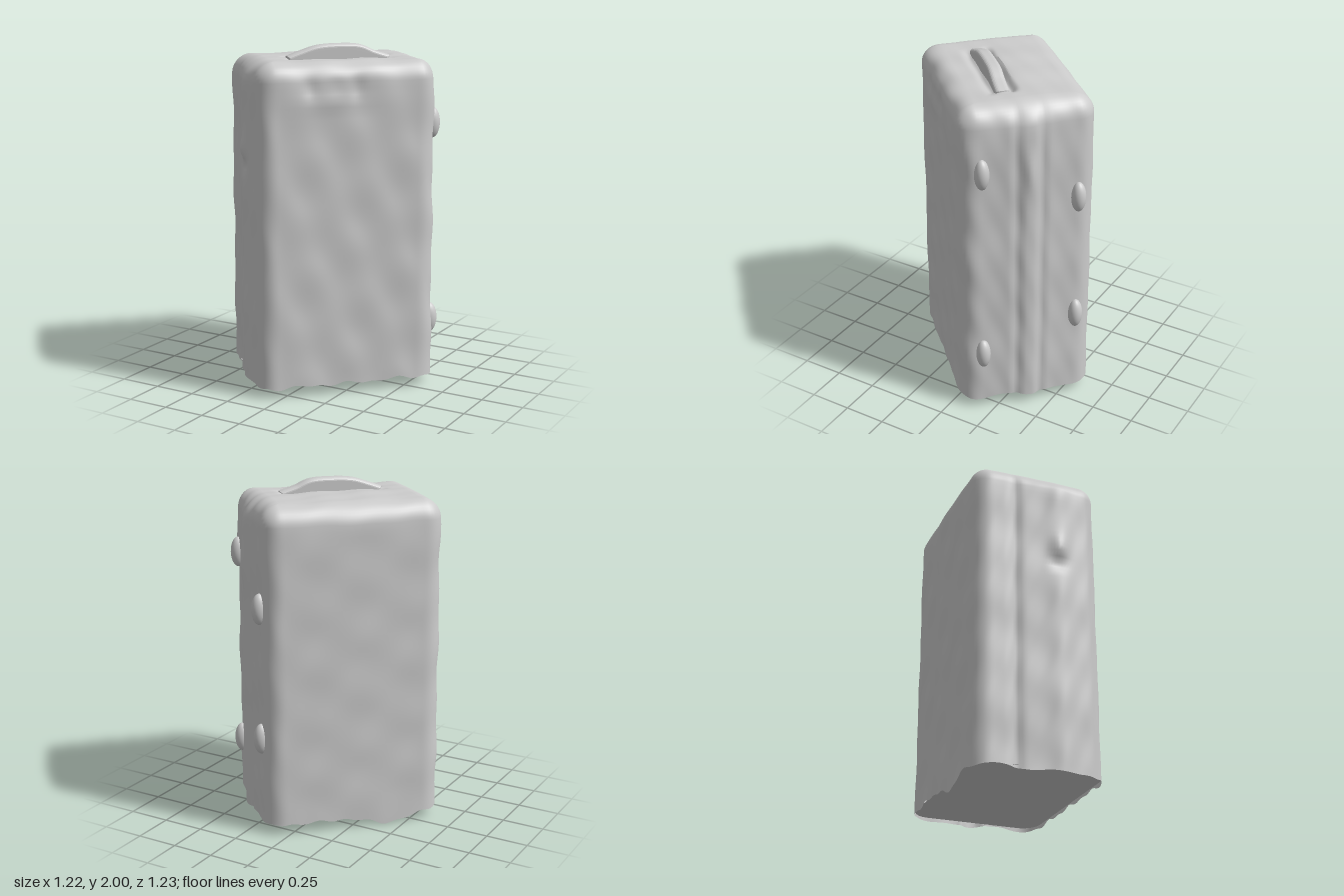
import * as THREE from 'three';

const HU = 0.53, HV = 0.392, R = 0.11, TOP = 1.92;
const bell = (t, c, w) => Math.exp(-(((t - c) / w) ** 2));
const fade = (t, a, b) => THREE.MathUtils.smoothstep(t, a, b);
const wobble = (x, y, z) =>
  0.0025 * (Math.sin(23 * x + 9 * y) + Math.sin(19 * y - 17 * z + 1) * Math.sin(27 * z + 11 * x));

// Rounded rectangle outline, shrunk by an inset
function outline(inset) {
  const r = Math.max(R - inset, 0.002);
  const a = Math.max(HU - inset - r, 0.001), b = Math.max(HV - inset - r, 0.001);
  const corners = [[a, b], [-a, b], [-a, -b], [a, -b]];
  const pts = [];
  corners.forEach(([cx, cz], k) => {
    for (let i = 0; i <= 8; i++) {
      const t = (k + i / 8) * Math.PI / 2;
      pts.push([cx + r * Math.cos(t), cz + r * Math.sin(t)]);
    }
    const last = pts[pts.length - 1], n = k % 2 ? 32 : 48;
    const t = (k + 1) * Math.PI / 2, [nx, nz] = corners[(k + 1) % 4];
    const end = [nx + r * Math.cos(t), nz + r * Math.sin(t)];
    for (let i = 1; i < n; i++) {
      pts.push([last[0] + (end[0] - last[0]) * i / n, last[1] + (end[1] - last[1]) * i / n]);
    }
  });
  return pts;
}

// Soft ribs, grooves, dents and the ragged hem
function shape(x, y, z, level) {
  let px = x, py = y, pz = z;
  const side = 1 - fade(y, 1.75, 1.92);
  const end = Math.min(1, Math.abs(x) / HU) ** 10;
  if (x > 0) {
    const rib = 0.035 * bell(z, 0, 0.13) - 0.016 * bell(z, 0.07, 0.025) - 0.016 * bell(z, -0.07, 0.025)
      + 0.015 * bell(z, 0, 0.03) * bell(y, 1.53, 0.12);
    px += end * rib * (0.5 + 0.5 * side);
  } else {
    const rib = 0.028 * bell(z, 0.13, 0.09) + 0.012 * bell(z, -0.02, 0.12) - 0.014 * bell(z, -0.14, 0.03)
      + 0.02 * bell(z, 0.12, 0.05) * (bell(y, 1.42, 0.07) - 1.2 * bell(y, 1.33, 0.04));
    px -= end * rib * (0.5 + 0.5 * side);
  }
  if (z > 0.3) {
    const dents = bell(x, -0.22, 0.04) + 0.6 * bell(x, -0.08, 0.05) + bell(x, 0.05, 0.04);
    pz -= 0.012 * dents * bell(y, 1.78, 0.05);
    pz += 0.008 * bell(x, -0.08, 0.2) * bell(y, 1.7, 0.04);
  }
  if (z < -0.3) pz -= 0.01 * bell(x, 0, 0.35) * side;
  if (level > 0) {
    // top panel
    const mid = fade(x, -0.33, -0.22) * (1 - fade(x, 0.26, 0.36));
    py += level * (0.018 * bell(z, -0.08, 0.18) * bell(x, 0, 0.45)
      - mid * (0.035 * bell(z, 0.035, 0.022) + 0.022 * bell(z, 0.15, 0.025)));
  }
  const hem = 1 - fade(y, 0.06, 0.2);
  py += hem * (0.012 * Math.sin(31 * x + 5 * z) * Math.sin(17 * z - 9 * x + 1)
    - 0.055 * bell(x, -0.2, 0.16) * bell(z, -HV, 0.1)
    - 0.02 * bell(x, -HU, 0.04) * bell(z, HV - 0.05, 0.05));
  const w = wobble(x, y, z);
  return [px + w, py + w * 0.8, pz + w + 0.0075];
}

function bodyGeometry() {
  const rings = [];
  for (let i = 0; i <= 60; i++) rings.push([0.006 * i / 60, 0.06 + (TOP - R - 0.06) * (i / 60) ** 1.2, 0]);
  for (let i = 1; i <= 9; i++) {
    const t = i / 9 * Math.PI / 2;
    rings.push([0.006 + R * (1 - Math.cos(t)), TOP - R + R * Math.sin(t), i / 9]);
  }
  for (let i = 1; i <= 26; i++) rings.push([0.116 + (HV - 0.118) * i / 26, TOP, 1]);
  const pos = [], index = [];
  let n = 0;
  rings.forEach(([inset, y, level]) => {
    const pts = outline(inset);
    n = pts.length;
    pts.forEach(([x, z]) => pos.push(...shape(x, y, z, level)));
  });
  for (let i = 0; i < rings.length - 1; i++) {
    for (let j = 0; j < n; j++) {
      const a = i * n + j, b = i * n + (j + 1) % n;
      index.push(a, a + n, b, b, a + n, b + n);
    }
  }
  const g = new THREE.BufferGeometry();
  g.setAttribute('position', new THREE.Float32BufferAttribute(pos, 3));
  g.setIndex(index);
  g.computeVertexNormals();
  return g;
}

export function createModel() {
  const model = new THREE.Group();
  model.name = 'suitcase';
  const material = new THREE.MeshStandardMaterial({ color: 0xcccccc, side: THREE.DoubleSide });
  const add = (name, geometry, x = 0, y = 0, z = 0) => {
    const mesh = new THREE.Mesh(geometry, material);
    mesh.name = name;
    mesh.position.set(x, y, z);
    model.add(mesh);
    return mesh;
  };

  add('body', bodyGeometry());

  // Flat underside
  const base = new THREE.Shape(outline(0.003).map(([x, z]) => new THREE.Vector2(x, z)));
  add('underside', new THREE.ShapeGeometry(base), 0, 0.075, 0.0075).rotation.x = Math.PI / 2;

  // Low arched carrying handle
  const arch = new THREE.Shape();
  arch.moveTo(-0.27, -0.05);
  arch.lineTo(-0.27, 0);
  arch.splineThru([[-0.2, 0.025], [-0.11, 0.052], [0, 0.06], [0.13, 0.055], [0.22, 0.02], [0.3, -0.005]]
    .map(p => new THREE.Vector2(...p)));
  arch.lineTo(0.3, -0.05);
  add('handle', new THREE.ExtrudeGeometry(arch, {
    depth: 0.03, bevelThickness: 0.025, bevelSize: 0.02, bevelSegments: 5, curveSegments: 24,
  }), 0, TOP, 0.085);

  // Four oval feet on the narrow end
  const foot = new THREE.SphereGeometry(1, 24, 16);
  [[1.55, 0.275], [0.38, 0.275], [1.34, -0.275], [0.57, -0.275]].forEach(([y, z]) =>
    add('foot', foot, 0.53, y, z).scale.set(0.046, 0.09, 0.042));

  // The case stands turned on its base
  model.rotation.y = 0.795;
  const root = new THREE.Group();
  root.name = 'turnedSuitcase';
  root.add(model);
  return root;
}
